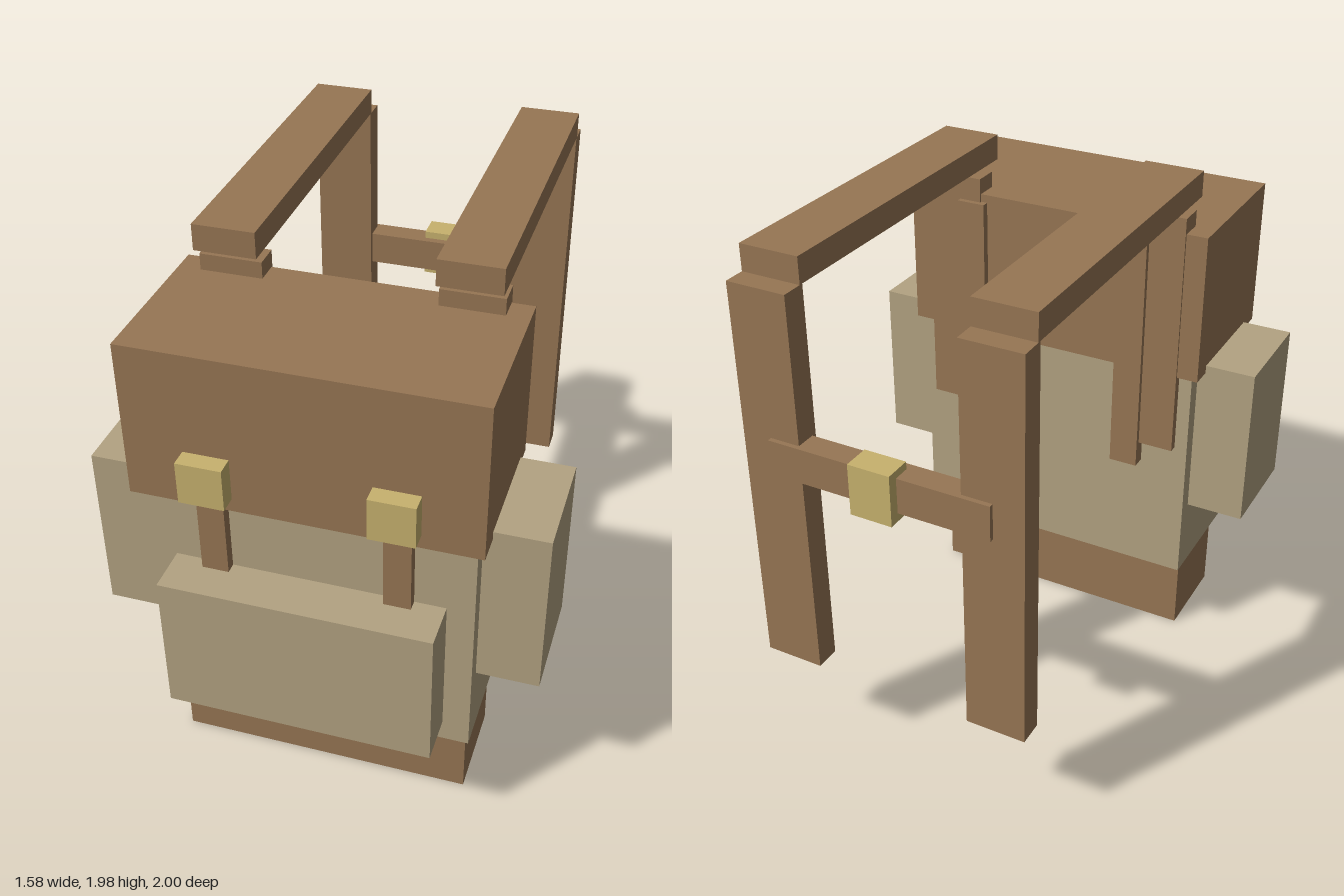
import * as THREE from 'three';

export function createModel() {
  const model = new THREE.Group();
  model.name = 'backpack';

  const mat = (name, color) => {
    const m = new THREE.MeshStandardMaterial({ color });
    m.name = name;
    return m;
  };
  const leather = mat('brown leather', 0x977654);
  const canvas = mat('tan canvas', 0xb3a382);
  const brass = mat('brass', 0xc8b26e);

  // Box given by its [min, max] extents on each axis
  const box = (name, material, [x0, x1], [y0, y1], [z0, z1]) => {
    const mesh = new THREE.Mesh(new THREE.BoxGeometry(x1 - x0, y1 - y0, z1 - z0), material);
    mesh.position.set((x0 + x1) / 2, (y0 + y1) / 2, (z0 + z1) / 2);
    mesh.name = name;
    model.add(mesh);
  };
  // The same box on the left (+x) and the right (-x)
  const pair = (name, material, [x0, x1], y, z) => {
    box(name + 'Left', material, [x0, x1], y, z);
    box(name + 'Right', material, [-x1, -x0], y, z);
  };

  // Main bag
  box('body', canvas, [-0.57, 0.57], [0.335, 1.25], [0.295, 0.83]);
  box('topFlap', leather, [-0.6, 0.6], [1.22, 1.79], [0.27, 0.87]);
  box('bottomRoll', leather, [-0.54, 0.54], [0, 0.335], [0.385, 0.735]);

  // Pockets
  box('frontPocket', canvas, [-0.475, 0.475], [0.415, 0.95], [0.83, 1]);
  pair('sidePocket', canvas, [0.57, 0.79], [0.62, 1.25], [0.355, 0.765]);

  // Flap closures
  pair('closureStrap', leather, [0.27, 0.365], [0.95, 1.22], [0.82, 0.87]);
  pair('closureBuckle', brass, [0.237, 0.395], [1.27, 1.425], [0.87, 0.935]);

  // Shoulder straps: back anchor, inner tab, top run and hanging end
  pair('strapAnchor', leather, [0.3, 0.52], [0.905, 1.85], [0.262, 0.355]);
  pair('strapTab', leather, [0.275, 0.385], [0.81, 1.76], [0.242, 0.3]);
  pair('strapTop', leather, [0.3, 0.52], [1.885, 1.98], [-0.865, 0.4]);
  pair('strapFront', leather, [0.3, 0.52], [0.43, 1.885], [-0.945, -0.852]);

  // Chest strap with buckle
  box('chestStrap', leather, [-0.41, 0.41], [1.22, 1.35], [-0.962, -0.87]);
  box('chestBuckle', brass, [-0.078, 0.076], [1.19, 1.378], [-1, -0.9]);

  return model;
}
